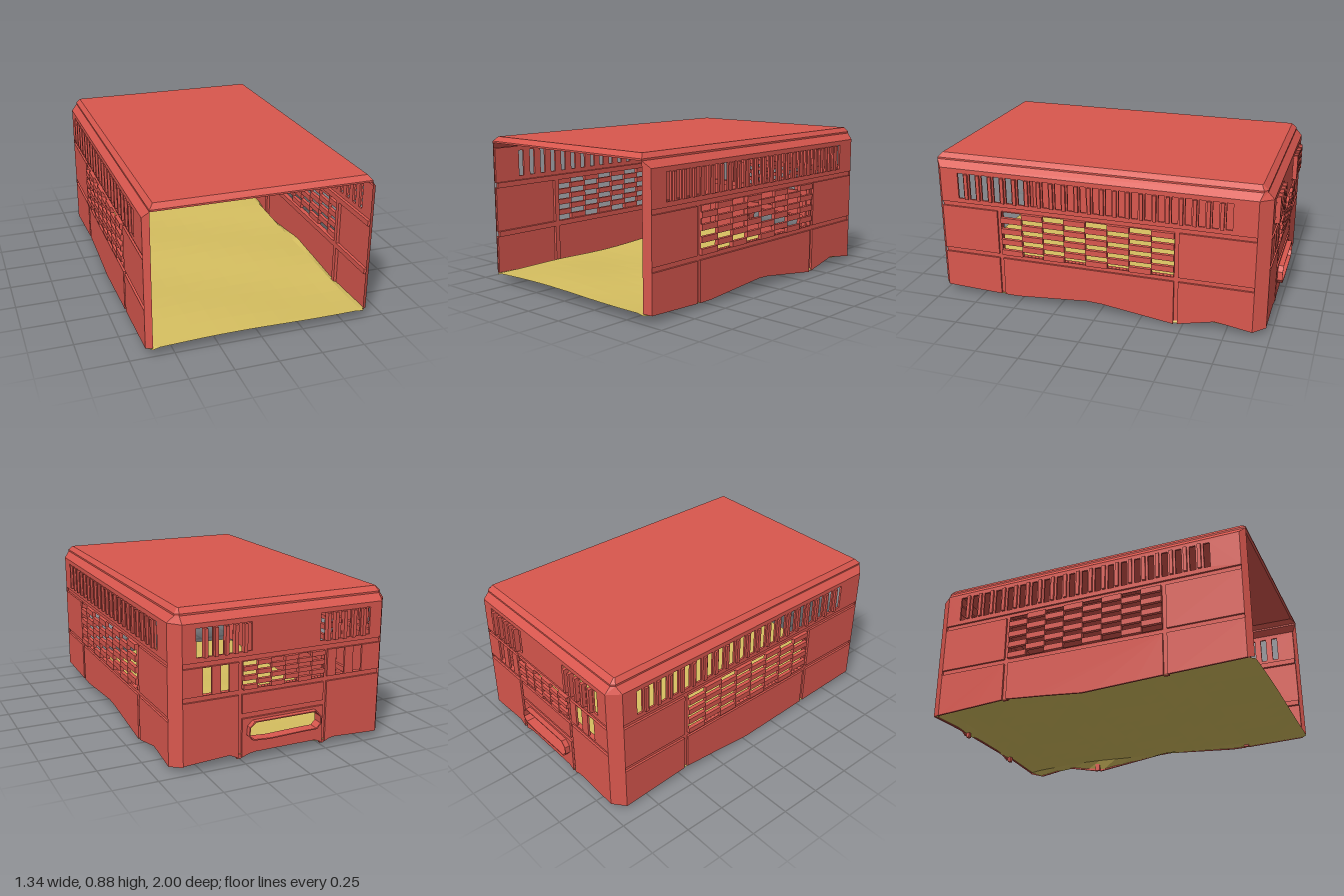
import * as THREE from 'three';

const red = new THREE.MeshStandardMaterial({ color: 0xd9574e, flatShading: true, side: THREE.DoubleSide });
red.name = 'red panel';
const sand = new THREE.MeshStandardMaterial({ color: 0xd6bf60, flatShading: true, side: THREE.DoubleSide });
sand.name = 'sand floor';

const T = 0.012; // sheet thickness

function add(parent, name, geo, mat = red) {
  const m = new THREE.Mesh(geo, mat);
  m.name = name;
  parent.add(m);
  return m;
}

// Box given by its limits
function box(parent, name, x0, x1, y0, y1, z0, z1) {
  const g = new THREE.BoxGeometry(x1 - x0, y1 - y0, z1 - z0);
  g.translate((x0 + x1) / 2, (y0 + y1) / 2, (z0 + z1) / 2);
  return add(parent, name, g);
}

// Four-cornered faces, two triangles each
function quads(list) {
  const pos = [];
  for (const [a, b, c, d] of list) pos.push(...a, ...b, ...c, ...a, ...c, ...d);
  const g = new THREE.BufferGeometry();
  g.setAttribute('position', new THREE.Float32BufferAttribute(pos, 3));
  g.computeVertexNormals();
  return g;
}

const v2 = (x, y) => new THREE.Vector2(x, y);
const rect = (x0, x1, y0, y1) => [v2(x0, y0), v2(x1, y0), v2(x1, y1), v2(x0, y1)];

// Thin sheet in the wall's own plane; outward is +z
function sheet(parent, name, points, holes = [], z0 = -T, z1 = 0) {
  const s = new THREE.Shape(points);
  for (const h of holes) s.holes.push(new THREE.Path(h));
  const g = new THREE.ExtrudeGeometry(s, { depth: z1 - z0, bevelEnabled: false });
  g.translate(0, 0, z0);
  return add(parent, name, g);
}

// Piecewise linear height along a wall
function ramp(pts) {
  return (u) => {
    for (let i = 1; i < pts.length; i++) {
      if (u <= pts[i][0]) {
        const [a, b] = [pts[i - 1], pts[i]];
        return a[1] + (b[1] - a[1]) * Math.max(0, (u - a[0]) / (b[0] - a[0]));
      }
    }
    return pts[pts.length - 1][1];
  };
}

// Wall: slotted top band, middle band with grille, lower band with uneven hem
function wall(o) {
  const w = new THREE.Group();
  w.name = o.name;
  const { u0, u1, low, posts, foot, grille } = o;
  const slotHoles = o.slots.map((c) => rect(c - 0.018, c + 0.018, 0.63, 0.785));
  sheet(w, 'ventBand', rect(u0, u1, 0.603, 0.812), slotHoles);
  o.slots.forEach((c, i) => {
    const next = o.slots[i + 1];
    if (next === undefined || next - c > 0.2) return;
    const m = (c + next) / 2;
    box(w, 'ventSlat', m - 0.01, m + 0.01, 0.63, 0.785, -T, o.slatOut);
  });

  // recessed rails and uprights
  box(w, 'upperRail', u0, u1, 0.573, 0.605, -0.03, -T);
  box(w, 'lowerRail', u0, u1, low - 0.03, low + 0.002, -0.03, -T);
  for (const [a, b] of posts) box(w, 'recessedUpright', a - 0.003, b + 0.003, foot((a + b) / 2) - o.footDrop, 0.575, -0.03, -T);

  const cols = [[u0, posts[0][0]], [posts[0][1], posts[1][0]], [posts[1][1], u1]];
  cols.forEach(([a, b], i) => {
    // middle band
    const holes = o.windows.filter(([p, q]) => p > a && q < b).map(([p, q]) => rect(p, q, low + 0.003, 0.572));
    if (i === 1) holes.push(rect(grille.a, grille.b, low + 0.001, 0.574));
    sheet(w, 'middlePanel', rect(a, b, low, 0.575), holes);
    // lower band
    const hem = [];
    for (let k = 0; k <= 12; k++) {
      const u = a + ((b - a) * k) / 12;
      hem.push(v2(u, foot(u)));
    }
    const top = i === 1 && o.handle ? 0.255 : low - 0.028;
    sheet(w, 'lowerPanel', [...hem, v2(b, top), v2(a, top)], i === 1 && o.handle ? [o.handle] : []);
  });

  // chequered grille
  const { a, b, nx, ny, odd } = grille;
  const cw = (b - a) / nx, ch = (0.575 - low) / ny;
  for (let i = 0; i < nx; i++) for (let j = 0; j < ny; j++) {
    if ((i + j + odd) % 2 === 0) continue;
    box(w, 'grilleBlock', a + i * cw, a + (i + 1) * cw, 0.575 - (j + 1) * ch, 0.575 - j * ch, -T, 0.01);
  }
  return w;
}

const row = (start, end, n) => Array.from({ length: n }, (_, i) => start + ((end - start) * i) / (n - 1));

export function createModel() {
  const model = new THREE.Group();
  model.name = 'shelter';

  // hem heights along z for each side
  const footL = ramp([[-0.97, 0.015], [-0.89, 0.03], [-0.69, 0.062], [-0.45, 0.008], [0.04, 0.075], [0.53, 0.037], [1, 0.055]]);
  const footR = ramp([[-0.97, 0], [-0.9, 0.02], [-0.45, 0.05], [-0.2, 0.03], [0.03, 0.008], [0.5, 0.03], [1, 0.05]]);

  // left wall, u = -z
  const left = wall({
    name: 'leftWall', u0: -0.97, u1: 0.9, low: 0.305, posts: [[-0.62, -0.595], [0.445, 0.47]],
    foot: (u) => footL(-u), footDrop: 0, slots: row(-0.842, 0.746, 22), slatOut: 0.013, windows: [],
    grille: { a: -0.595, b: 0.445, nx: 8, ny: 8, odd: 0 },
  });
  left.rotation.y = Math.PI / 2;
  left.position.x = 0.655;

  // right wall, u = z
  const right = wall({
    name: 'rightWall', u0: -0.9, u1: 0.97, low: 0.305, posts: [[-0.475, -0.45], [0.51, 0.535]],
    foot: footR, footDrop: 0, slots: row(-0.79, 0.78, 20), slatOut: 0.013, windows: [],
    grille: { a: -0.45, b: 0.51, nx: 8, ny: 8, odd: 0 },
  });
  right.rotation.y = -Math.PI / 2;
  right.position.x = -0.655;

  // back wall, u = -x
  const backFoot = ramp([[-0.6, 0.045], [-0.33, 0.06], [-0.27, 0.03], [-0.2, 0.055], [0.2, 0.055], [0.25, 0.03], [0.3, 0.055], [0.6, 0.04]]);
  const handle = [[-0.225, 0.165], [-0.2, 0.14], [-0.1, 0.133], [0.1, 0.138], [0.185, 0.138], [0.21, 0.165],
    [0.208, 0.205], [0.18, 0.235], [-0.19, 0.235], [-0.22, 0.21]].map(([x, y]) => v2(x, y));
  const back = wall({
    name: 'backWall', u0: -0.6, u1: 0.6, low: 0.42, posts: [[-0.28, -0.258], [0.24, 0.26]],
    foot: backFoot, footDrop: 0.005, slatOut: 0.022, handle,
    slots: [-0.505, -0.447, -0.385, -0.328, -0.278, -0.223, 0.228, 0.275, 0.325, 0.383, 0.445, 0.508],
    windows: [[-0.487, -0.435], [-0.385, -0.335], [0.315, 0.37], [0.425, 0.482]],
    grille: { a: -0.256, b: 0.238, nx: 6, ny: 6, odd: 0 },
  });
  back.rotation.y = Math.PI;
  back.position.z = -0.97;
  sheet(back, 'plainPanel', rect(-0.258, 0.24, 0.285, 0.392));
  box(back, 'panelGroove', -0.258, 0.24, 0.25, 0.29, -0.03, -T);
  // raised rim round the opening
  const rim = handle.map((p) => v2(p.x * 1.03 , 0.187 + (p.y - 0.187) * 1.12));
  sheet(back, 'openingRim', rim, [handle], -0.03, 0.03);
  model.add(left, right, back);

  // front edges and back corners, cut at an angle
  const corners = [];
  for (const s of [1, -1]) {
    const f = s > 0 ? footL : footR;
    corners.push(
      [[s * 0.655, f(0.97), 0.97], [s * 0.62, f(1) + 0.01, 1], [s * 0.62, 0.85, 1], [s * 0.655, 0.812, 0.97]],
      [[s * 0.655, f(-0.9), -0.9], [s * 0.6, 0.04, -0.97], [s * 0.6, 0.812, -0.97], [s * 0.655, 0.812, -0.9]],
    );
  }
  add(model, 'cornerPosts', quads(corners));

  // roof: stepped eaves on three sides, front lip and flat top
  const ring = (y, x, zf, zb, cx, cz) => [[x, y, zf], [x, y, zb + cz], [x - cx, y, zb], [cx - x, y, zb], [-x, y, zb + cz], [-x, y, zf]];
  const levels = [ring(0.812, 0.655, 0.97, -0.97, 0.055, 0.07), ring(0.85, 0.62, 1, -0.935, 0.02, 0.02),
    ring(0.86, 0.62, 1, -0.935, 0.02, 0.02), ring(0.887, 0.597, 0.975, -0.905, 0.005, 0.005)];
  const eaves = [];
  for (let l = 0; l < 3; l++) for (let i = 0; i < 5; i++)
    eaves.push([levels[l][i], levels[l][i + 1], levels[l + 1][i + 1], levels[l + 1][i]]);
  for (let l = 1; l < 3; l++) eaves.push([levels[l][5], levels[l][0], levels[l + 1][0], levels[l + 1][5]]);
  add(model, 'roofEdges', quads(eaves));
  const t = levels[3];
  add(model, 'roofTop', quads([[t[0], t[1], t[4], t[5]], [t[1], t[2], t[3], t[4]]]));

  // uneven ground sheet, its rim dropping to the wall hems
  const nx = 12, nz = 18;
  const floor = new THREE.PlaneGeometry(1, 1, nx, nz);
  const p = floor.attributes.position;
  for (let j = 0; j <= nz; j++) for (let i = 0; i <= nx; i++) {
    const z = j === 0 ? -0.965 : j === 1 ? -0.9 : j === nz ? 1 : -0.9 + (1.87 * (j - 1)) / (nz - 2);
    const half = j === 0 ? 0.6 : j === nz ? 0.62 : 0.65;
    const k = i === 0 ? -1 : i === nx ? 1 : (-1 + (2 * (i - 1)) / (nx - 2)) * 0.94;
    const x = k * half;
    let y = 0.064 + 0.007 * Math.sin(5 * x + 3 * z) + 0.005 * Math.cos(7 * z - 4 * x);
    if (i === 0) y = footR(z);
    if (i === nx) y = footL(z);
    if (j === 0) y = backFoot(-x) + 0.004;
    p.setXYZ(j * (nx + 1) + i, x, y, z);
  }
  floor.computeVertexNormals();
  add(model, 'floor', floor, sand);

  return model;
}
